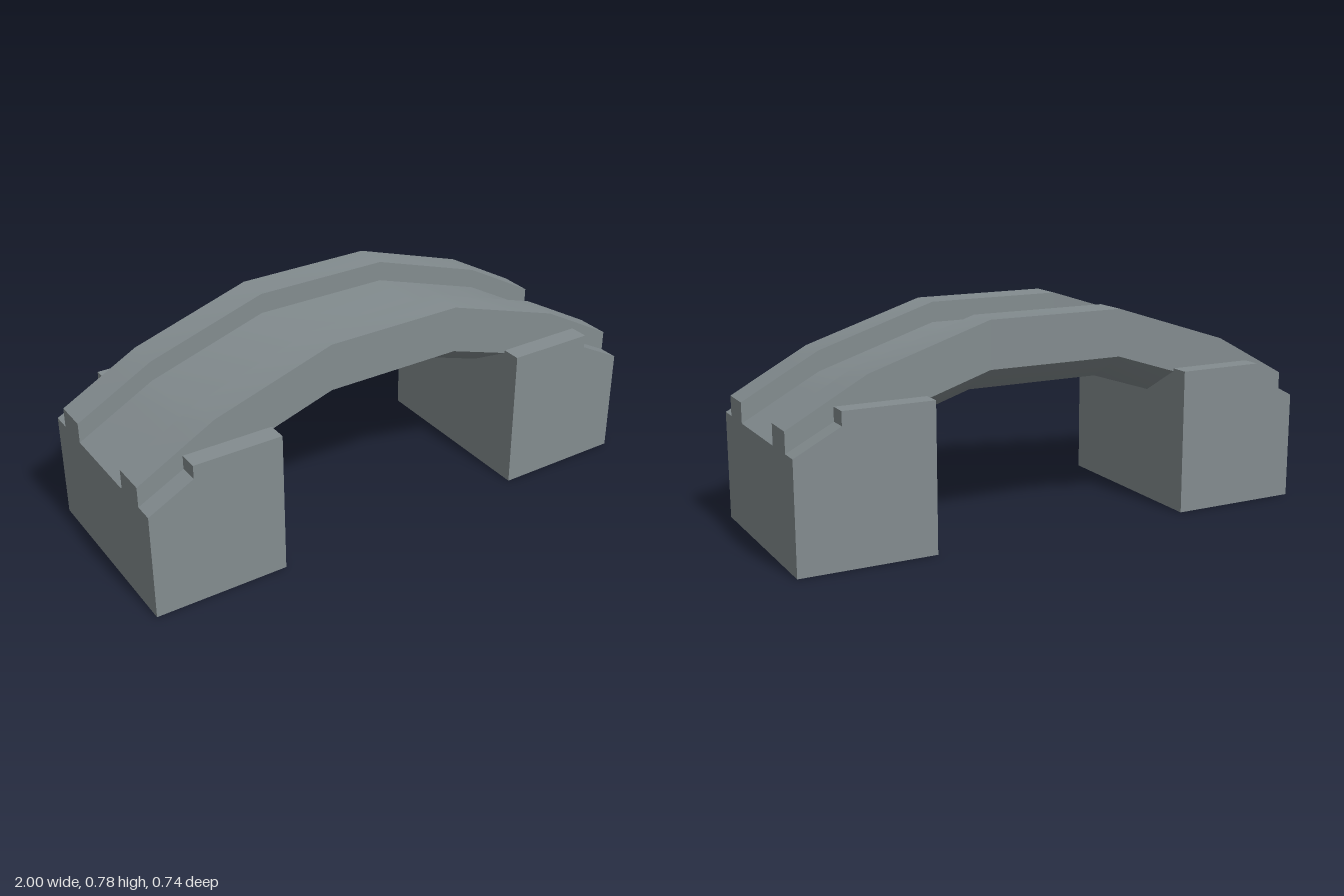
import * as THREE from 'three';
import { toCreasedNormals } from 'three/addons/utils/BufferGeometryUtils.js';

const material = new THREE.MeshStandardMaterial({ color: 0x838c8f });

// Arch line of the parapet tops: [x, y]
const halfArch = [[0.26, 0.778], [0.71, 0.634], [0.8, 0.585], [1, 0.475]];
const arch = [...halfArch.map(([x, y]) => [-x, y]).reverse(), ...halfArch];

// Cross-section of the span: [z, drop below the arch line]
const half = [[0.3, 0], [0.3, -0.174], [0.13, -0.274]];
const trough = [[-0.173, 0], [-0.173, -0.076], [0.173, -0.076], [0.173, 0]];
const section = [...half, ...half.map(([z, d]) => [-z, d]).reverse(), ...trough];

// Lofts the section along the arch and closes both ends
function spanGeometry() {
  const n = section.length;
  const positions = [];
  const index = [];
  arch.forEach(([x, y]) => {
    // at the ends the hidden underside rests on top of the pier
    section.forEach(([z, d]) => {
      const end = Math.abs(x) === 1 && d < -0.1;
      positions.push(x, end ? 0.38 : y + d, z);
    });
  });
  for (let i = 0; i < arch.length - 1; i++) {
    for (let j = 0; j < n; j++) {
      const k = (j + 1) % n;
      const a = i * n + j, b = i * n + k, c = b + n, d = a + n;
      index.push(a, b, c, a, c, d);
    }
  }
  const outline = section.map(([z, d]) => new THREE.Vector2(-z, d));
  const last = (arch.length - 1) * n;
  THREE.ShapeUtils.triangulateShape(outline, []).forEach(([a, b, c]) => {
    index.push(a, c, b, last + a, last + b, last + c);
  });
  const geometry = new THREE.BufferGeometry();
  geometry.setAttribute('position', new THREE.Float32BufferAttribute(positions, 3));
  geometry.setIndex(index);
  return toCreasedNormals(geometry, 0.6);
}

// Slab with a side profile in x and y, spanning z0 to z1
function slab(name, profile, z0, z1) {
  const shape = new THREE.Shape(profile.map(([x, y]) => new THREE.Vector2(x, y)));
  const geometry = new THREE.ExtrudeGeometry(shape, { depth: z1 - z0, bevelEnabled: false });
  geometry.translate(0, 0, z0);
  const mesh = new THREE.Mesh(geometry, material);
  mesh.name = name;
  return mesh;
}

// Pier at the +x end: a core under the span and a stepped cheek on each side
function pier(name) {
  const group = new THREE.Group();
  group.name = name;
  const core = [[0.5, 0], [1, 0], [1, 0.38], [0.72, 0.538], [0.5, 0.538]];
  const cheek = [[0.5, 0], [1, 0], [1, 0.4], [0.832, 0.488], [0.832, 0.538], [0.5, 0.538]];
  group.add(
    slab('pierCore', core, -0.3, 0.3),
    slab('frontCheek', cheek, 0.3, 0.372),
    slab('backCheek', cheek, -0.372, -0.3)
  );
  return group;
}

export function createModel() {
  const model = new THREE.Group();
  model.name = 'bridge';

  const span = new THREE.Mesh(spanGeometry(), material);
  span.name = 'archedSpan';
  model.add(span);

  const rightPier = pier('rightPier');
  rightPier.rotation.y = Math.PI;
  model.add(pier('leftPier'), rightPier);
  return model;
}
